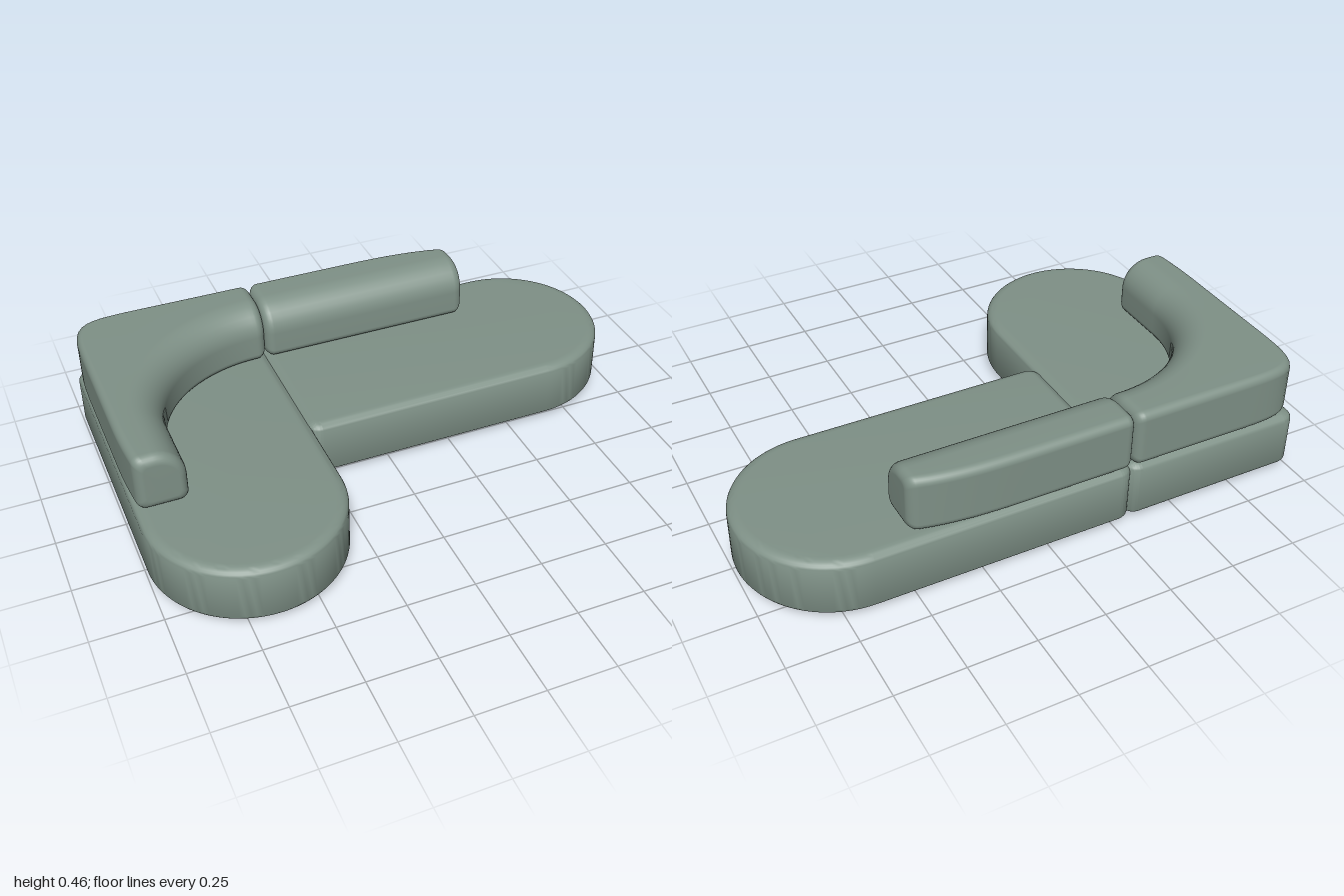
import * as THREE from 'three';
import { toCreasedNormals } from 'three/addons/utils/BufferGeometryUtils.js';

const fabric = new THREE.MeshStandardMaterial({ color: 0x7f9187 });
const wood = new THREE.MeshStandardMaterial({ color: 0xb09a90 });

const SEAT_BOTTOM = 0.02, SEAT_TOP = 0.24, BACK_TOP = 0.455;

// Seat cushion: rounded corners at one end, a half circle at the other, soft edges.
// The plan runs along +x from 0 to length, with its width centred on 0.
function seatGeometry(length, width) {
  const r = width / 2, c = 0.05, soft = 0.04, rise = 0.028;
  const s = new THREE.Shape();
  s.moveTo(c, -r);
  s.lineTo(length - r, -r);
  s.absarc(length - r, 0, r, -Math.PI / 2, Math.PI / 2, false);
  s.lineTo(c, r);
  s.absarc(c, r - c, c, Math.PI / 2, Math.PI, false);
  s.lineTo(0, c - r);
  s.absarc(c, c - r, c, Math.PI, Math.PI * 1.5, false);
  const geo = new THREE.ExtrudeGeometry(s, {
    depth: SEAT_TOP - SEAT_BOTTOM - 2 * rise, curveSegments: 28,
    bevelEnabled: true, bevelSize: soft, bevelOffset: -soft, bevelThickness: rise, bevelSegments: 6,
  });
  geo.rotateX(-Math.PI / 2);
  geo.translate(0, SEAT_BOTTOM + rise, 0);
  return toCreasedNormals(geo, 0.7);
}

// Backrest section: [anchor, distance in from that side, y]; anchor 0 = front, 1 = rear
function backProfile() {
  const pts = [], n = 8;
  const corner = (side, cx, cy, rx, ry, from, to) => {
    for (let i = 0; i <= n; i++) {
      const a = THREE.MathUtils.lerp(from, to, i / n) * Math.PI / 2;
      pts.push([side, cx - rx * Math.cos(a), cy + ry * Math.sin(a)]);
    }
  };
  const r = 0.03;
  corner(0, r, SEAT_TOP + r, r, r, -1, 0);
  corner(0, 0.11, BACK_TOP - 0.11, 0.11, 0.11, 0, 1);
  corner(1, r, BACK_TOP - r, r, r, 1, 0);
  corner(1, r, SEAT_TOP + r, r, r, 0, -1);
  return pts;
}

// Joins sections between front points p and rear points q; inset shrinks a section at the ends
function backGeometry(stations) {
  const profile = backProfile(), m = profile.length;
  const pos = [], index = [], midY = (SEAT_TOP + BACK_TOP) / 2;
  for (const { p, q, inset } of stations) {
    const mid = p.clone().lerp(q, 0.5), dir = q.clone().sub(p).normalize();
    const k = inset / 0.105;
    for (const [side, d, y] of profile) {
      const v = side ? q.clone().addScaledVector(dir, -d) : p.clone().addScaledVector(dir, d);
      v.lerp(mid, k);
      pos.push(v.x, y + (midY - y) * k, v.y);
    }
  }
  const last = stations.length - 1;
  for (let i = 0; i < last; i++) {
    for (let j = 0; j < m; j++) {
      const a = i * m + j, b = i * m + (j + 1) % m;
      index.push(a, a + m, b, b, a + m, b + m);
    }
  }
  // End caps
  for (const i of [0, last]) {
    const centre = pos.length / 3, mid = stations[i].p.clone().lerp(stations[i].q, 0.5);
    pos.push(mid.x, midY, mid.y);
    for (let j = 0; j < m; j++) {
      const a = i * m + j, b = i * m + (j + 1) % m;
      if (i === 0) index.push(centre, a, b);
      else index.push(centre, b, a);
    }
  }
  const geo = new THREE.BufferGeometry();
  geo.setAttribute('position', new THREE.Float32BufferAttribute(pos, 3));
  geo.setIndex(index);
  geo.computeVertexNormals();
  return geo;
}

// Steps of a rounded end: distance from the end face and inset of the section
const ROUND = 0.035;
const endSteps = Array.from({ length: 8 }, (_, i) => {
  const a = (1 - i / 7) * Math.PI / 2;
  return { s: ROUND * (1 - Math.sin(a)), inset: ROUND * (1 - Math.cos(a)) };
});
const V = (x, z) => new THREE.Vector2(x, z);

// Corner backrest: straight arm, curved inside, nearly square outside corner
function cornerStations() {
  const list = [], cx = -0.345, front = 0.24, end = -0.31;
  const taper = z => 0.015 * Math.max(0, z / front) ** 2;
  const arm = (z, inset) => list.push({ p: V(-0.81, z), q: V(-1 + taper(z), z), inset });
  for (const { s, inset } of endSteps) arm(front - s, inset);
  for (let i = 1; i <= 5; i++) arm((front - ROUND) * (1 - i / 6), 0);
  const n = 56, e = 12;
  for (let i = 0; i <= n; i++) {
    const a = i / n * Math.PI / 2, c = Math.cos(a), s = Math.sin(a);
    const k = (c ** e + s ** e) ** (-1 / e);
    list.push({ p: V(cx - 0.465 * c, -0.435 * s), q: V(cx - 0.655 * c * k, -0.655 * s * k), inset: 0 });
  }
  for (const { s, inset } of endSteps.slice(0, -1).reverse())
    list.push({ p: V(end - s, -0.435), q: V(end - s, -0.655), inset });
  return list;
}

// Straight backrest whose rear sweeps forward towards the free end
function straightStations() {
  const list = [], x0 = -0.31, x1 = 0.51;
  const add = (x, inset) => {
    const t = Math.max(0, (x - 0.05) / (x1 - 0.05));
    list.push({ p: V(x, -0.435), q: V(x, -0.655 + 0.045 * t ** 3), inset });
  };
  for (const { s, inset } of endSteps) add(x0 + s, inset);
  for (let i = 1; i < 20; i++) add(THREE.MathUtils.lerp(x0 + ROUND, x1 - ROUND, i / 20), 0);
  for (const { s, inset } of [...endSteps].reverse()) add(x1 - s, inset);
  return list;
}

export function createModel() {
  const sofa = new THREE.Group();
  sofa.name = 'cornerSofa';
  const add = (name, geo, mat, x = 0, y = 0, z = 0) => {
    const mesh = new THREE.Mesh(geo, mat);
    mesh.name = name;
    mesh.position.set(x, y, z);
    sofa.add(mesh);
    return mesh;
  };

  // Seats
  add('longSeat', seatGeometry(1.315, 0.7), fabric, -0.315, 0, -0.31);
  add('chaiseSeat', seatGeometry(1.31, 0.7), fabric, -0.65, 0, -0.655).rotation.y = -Math.PI / 2;

  // Backrests
  add('cornerBackrest', backGeometry(cornerStations()), fabric);
  add('straightBackrest', backGeometry(straightStations()), fabric);

  // Feet: four under each seat plus one under each rounded end
  const footGeo = new THREE.BoxGeometry(0.09, 0.026, 0.09);
  const feet = [
    [-0.885, -0.53], [-0.41, -0.53], [-0.885, 0.31], [-0.41, 0.31], [-0.655, 0.485],
    [-0.19, -0.53], [-0.19, -0.055], [0.645, -0.53], [0.645, -0.055], [0.83, -0.29],
  ];
  for (const [x, z] of feet) add('foot', footGeo, wood, x, 0.013, z);
  return sofa;
}
